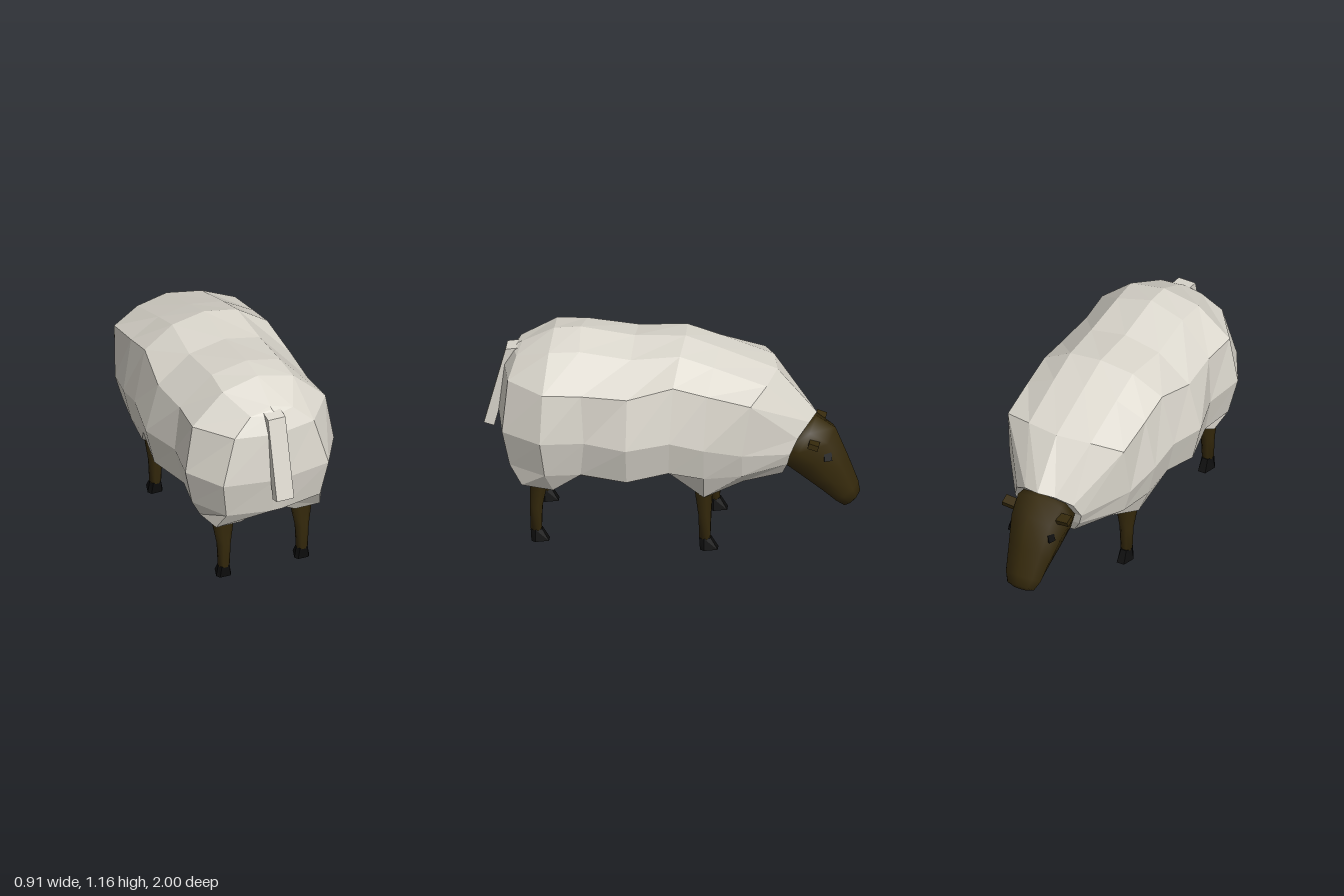
import * as THREE from 'three';

const wool = new THREE.MeshStandardMaterial({ color: 0xdcd8ce });
wool.name = 'wool';
const hide = new THREE.MeshStandardMaterial({ color: 0x362a0c });
hide.name = 'darkHide';
const black = new THREE.MeshStandardMaterial({ color: 0x0d0d0d });
black.name = 'black';

const { lerp } = THREE.MathUtils;

// Skin a list of equal-length closed rings and close both ends
function loft(rings, flat) {
  const n = rings[0].length, last = (rings.length - 1) * n, index = [];
  for (let i = 0; i < rings.length - 1; i++) {
    for (let j = 0; j < n; j++) {
      const a = i * n + j, b = i * n + (j + 1) % n;
      index.push(a, b, a + n, b, b + n, a + n);
    }
  }
  for (let j = 0; j < n / 2; j++) {
    const r = j, r2 = j + 1, l = (n - j) % n, l2 = n - j - 1;
    if (r !== l) index.push(r, l, l2, last + r, last + l2, last + l);
    if (r2 !== l2) index.push(r, l2, r2, last + r, last + r2, last + l2);
  }
  let g = new THREE.BufferGeometry();
  g.setAttribute('position', new THREE.Float32BufferAttribute(rings.flat(2), 3));
  g.setIndex(index);
  if (flat) g = g.toNonIndexed();
  g.computeVertexNormals();
  return g;
}

function add(parent, name, geometry, material) {
  const mesh = new THREE.Mesh(geometry, material);
  mesh.name = name;
  parent.add(mesh);
  return mesh;
}

// Fleece ring: spine, ridge, shoulder, flank, low flank, hem, inner hem, belly, then mirrored
function fleeceRing([zTop, zFlank, zHem, topY, shoulderY, flankY, lowY, hemY, bellyY, shoulderX, flankX, hemX]) {
  const half = [
    [0, topY, zTop],
    [shoulderX * 0.53, lerp(topY, shoulderY, 0.22), lerp(zTop, zFlank, 0.25)],
    [shoulderX, shoulderY, lerp(zTop, zFlank, 0.7)],
    [flankX, flankY, zFlank],
    [flankX * 0.89, lowY, lerp(zFlank, zHem, 0.35)],
    [hemX, hemY, zHem],
    [hemX * 0.52, hemY, zHem],
    [0, bellyY, zHem],
  ];
  return [...half, ...half.slice(1, -1).reverse().map(([x, y, z]) => [-x, y, z])];
}

// Horizontal leg ring
function legRing(y, cx, cz, rx, rz, sides = 8) {
  return Array.from({ length: sides }, (_, k) => {
    const t = (k + 0.5) / sides * Math.PI * 2;
    return [cx - Math.sin(t) * rx, y, cz + Math.cos(t) * rz];
  });
}

export function createModel() {
  const model = new THREE.Group();
  model.name = 'sheep';

  // Fleece from rump to neck: three depths, six heights, three half widths
  const sections = [
    [0.82, 0.925, 0.82, 1.05, 0.94, 0.67, 0.46, 0.455, 0.455, 0.03, 0.03, 0.02],
    [0.8, 0.875, 0.77, 1.06, 0.94, 0.67, 0.46, 0.355, 0.43, 0.23, 0.305, 0.3],
    [0.63, 0.66, 0.6, 1.15, 0.94, 0.67, 0.46, 0.345, 0.4, 0.385, 0.43, 0.32],
    [0.49, 0.43, 0.49, 1.165, 0.94, 0.67, 0.46, 0.37, 0.37, 0.37, 0.39, 0.18],
    [0.2, 0.2, 0.2, 1.13, 0.94, 0.67, 0.46, 0.37, 0.37, 0.385, 0.457, 0.18],
    [-0.07, -0.03, 0, 1.145, 1.01, 0.71, 0.51, 0.42, 0.42, 0.355, 0.42, 0.2],
    [-0.25, -0.21, -0.2, 1.085, 0.97, 0.67, 0.48, 0.338, 0.4, 0.355, 0.405, 0.3],
    [-0.56, -0.41, -0.4, 0.975, 0.92, 0.63, 0.49, 0.395, 0.39, 0.35, 0.365, 0.2],
    [-0.77, -0.65, -0.6, 0.728, 0.65, 0.57, 0.5, 0.42, 0.41, 0.17, 0.2, 0.13],
  ];
  add(model, 'fleece', loft(sections.map(fleeceRing), true), wool);

  // Tail: strip folded over the rump, as [outer y, outer z, inner y, inner z]
  const tailRings = [
    [1.043, 0.81, 1.0, 0.79], [1.03, 0.885, 0.98, 0.84], [0.585, 1.0, 0.57, 0.945],
  ].map(([oy, oz, iy, iz]) => [[0.05, oy, oz], [-0.05, oy, oz], [-0.05, iy, iz], [0.05, iy, iz]]);
  add(model, 'tail', loft(tailRings, true), wool);

  // Head: rings as [top y, top z, bottom y, bottom z, half width]
  const head = new THREE.Group();
  head.name = 'head';
  model.add(head);
  const headRings = [
    [0.7, -0.69, 0.45, -0.56, 0.155], [0.705, -0.77, 0.42, -0.61, 0.17],
    [0.64, -0.87, 0.35, -0.69, 0.152], [0.48, -0.935, 0.28, -0.79, 0.125],
    [0.33, -0.99, 0.23, -0.86, 0.105], [0.27, -1.0, 0.197, -0.91, 0.08],
    [0.23, -0.975, 0.205, -0.935, 0.04],
  ].map(([ty, tz, by, bz, w]) => Array.from({ length: 8 }, (_, k) => {
    const t = k / 8 * Math.PI * 2, u = (1 - Math.cos(t)) / 2, s = Math.sin(t);
    return [w * Math.sign(s) * Math.abs(s) ** 0.8, lerp(ty, by, u), lerp(tz, bz, u)];
  }));
  add(head, 'skull', loft(headRings, false), hide);

  for (const s of [1, -1]) {
    const side = s > 0 ? 'left' : 'right';
    const ear = add(head, side + 'Ear', new THREE.BoxGeometry(0.1, 0.03, 0.055), hide);
    ear.position.set(s * 0.148, 0.61, -0.77);
    ear.rotation.set(-0.3, 0, s * 0.12);

    const eye = add(head, side + 'Eye', new THREE.BoxGeometry(0.042, 0.046, 0.0095), black);
    eye.position.set(s * 0.122, 0.525, -0.842);
    eye.lookAt(s * 1.03, 0.85, -1.2);

    // Legs and hooves
    for (const [name, z, topZ] of [['Hind', 0.7, 0.685], ['Front', -0.198, -0.194]]) {
      const leg = new THREE.Group();
      leg.name = side + name + 'Leg';
      model.add(leg);
      const x = s * 0.226;
      add(leg, 'shank', loft([
        legRing(0.42, x, topZ, 0.068, 0.056), legRing(0.34, x, topZ, 0.062, 0.05),
        legRing(0.2, x, z, 0.038, 0.036), legRing(0.06, x, z, 0.032, 0.031),
      ], false), hide);
      // Hoof: pointed toe toward the head end
      const hoofRing = (y, w, heel, toe) => [
        [x + w * 0.7, y, z + heel], [x - w * 0.7, y, z + heel], [x - w, y, z],
        [x - w * 0.5, y, z - toe], [x + w * 0.5, y, z - toe], [x + w, y, z],
      ];
      add(leg, 'hoof', loft([hoofRing(0.065, 0.032, 0.028, 0.033), hoofRing(0, 0.043, 0.023, 0.07)], true), black);
    }
  }
  return model;
}
